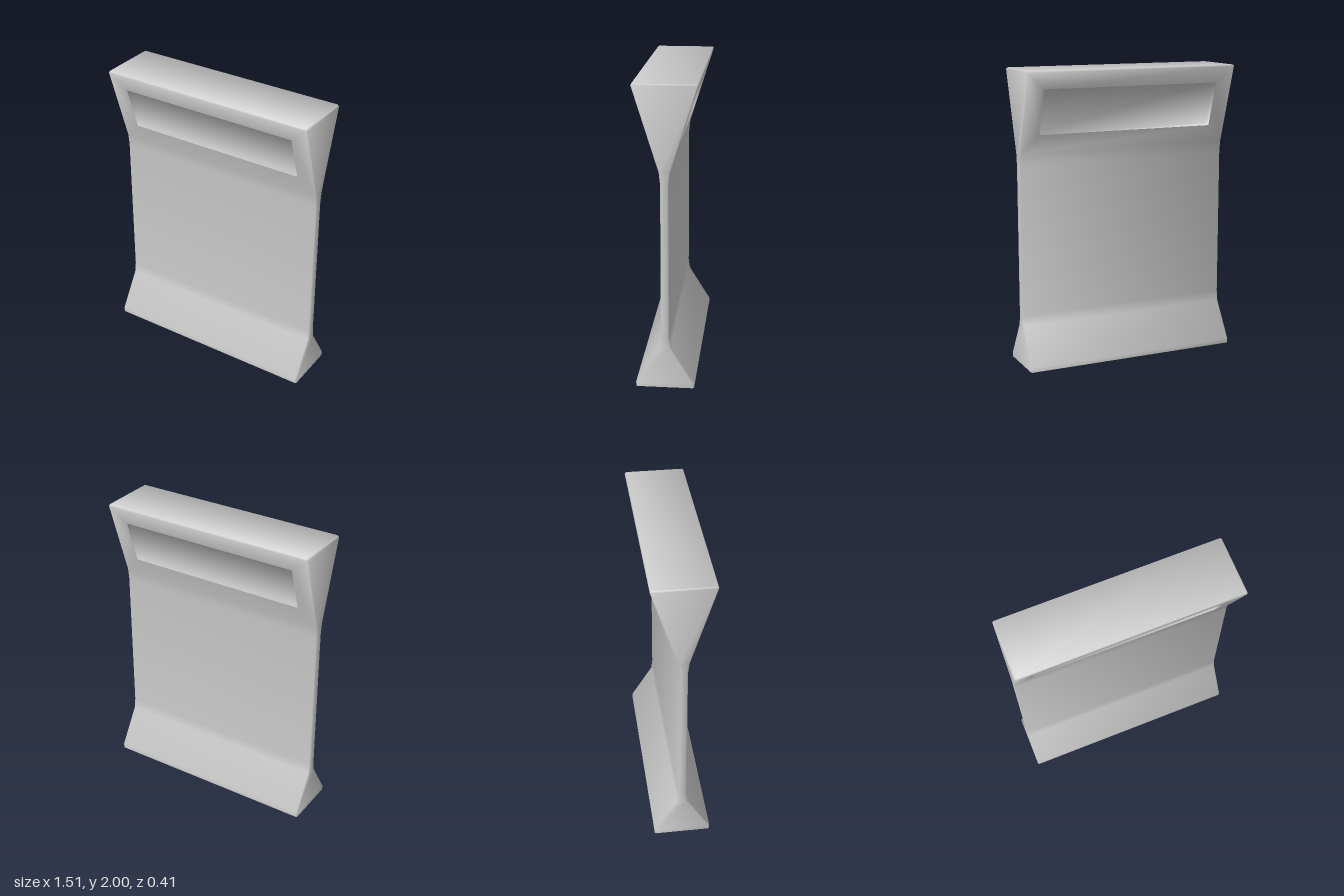
import * as THREE from 'three';

const material = new THREE.MeshStandardMaterial({ color: 0xcccccc, side: THREE.DoubleSide });

// Smooth normals, each face weighted by its corner angle
function smoothNormals(points, index) {
  const normals = points.map(() => new THREE.Vector3());
  for (let i = 0; i < index.length; i += 3) {
    const ids = index.slice(i, i + 3);
    const p = ids.map((k) => points[k]);
    const face = new THREE.Triangle(...p).getNormal(new THREE.Vector3());
    ids.forEach((id, k) => {
      const u = p[(k + 1) % 3].clone().sub(p[k]);
      const v = p[(k + 2) % 3].clone().sub(p[k]);
      normals[id].addScaledVector(face, u.angleTo(v));
    });
  }
  return normals.map((n) => n.normalize());
}

function makeMesh(name, points, quads) {
  const index = quads.flatMap(([a, b, c, d]) => [a, b, c, a, c, d]);
  const geometry = new THREE.BufferGeometry();
  const flat = (list) => new THREE.Float32BufferAttribute(list.flatMap((v) => v.toArray()), 3);
  geometry.setAttribute('position', flat(points));
  geometry.setAttribute('normal', flat(smoothNormals(points, index)));
  geometry.setIndex(index);
  const mesh = new THREE.Mesh(geometry, material);
  mesh.name = name;
  return mesh;
}

// Chamfered rectangle at height y, counter-clockwise seen from above
function section([y, w, d]) {
  const b = 0.008;
  return [
    [-w + b, d], [w - b, d], [w, d - b], [w, -d + b],
    [w - b, -d], [-w + b, -d], [-w, -d + b], [-w, d - b],
  ].map(([x, z]) => new THREE.Vector3(x, y, z));
}

// Height, half width, half depth
const rows = [
  [0, 0.755, 0.19], [0.03, 0.755, 0.19], [0.28, 0.755, 0.036], [0.35, 0.755, 0.027],
  [1.37, 0.755, 0.027], [1.45, 0.755, 0.036], [1.99, 0.755, 0.205], [2, 0.75, 0.2],
];
const HEAD = 5; // the row where the flared head begins

// Four window corners on the slope of the head, s = 1 front, s = -1 back
function windowCorners(s, inset, depth) {
  const [y0, , d0] = rows[HEAD];
  const [y1, , d1] = rows[HEAD + 1];
  const slope = (d1 - d0) / (y1 - y0);
  const len = Math.hypot(1, slope);
  const x = 0.63 - inset, low = 1.575 + inset, high = 1.88 - inset;
  return [[-x, low], [x, low], [x, high], [-x, high]].map(([px, y]) =>
    new THREE.Vector3(s * px, y + (depth * slope) / len, s * (d0 + (y - y0) * slope - depth / len)));
}

export function createModel() {
  const group = new THREE.Group();
  const points = rows.flatMap(section);
  const quads = [];

  // Outer shell, open below, leaving out the two sloped head faces
  for (let i = 0; i < rows.length - 1; i++) {
    for (let j = 0; j < 8; j++) {
      if (i === HEAD && j % 4 === 0) continue;
      const a = i * 8 + j, b = i * 8 + ((j + 1) % 8);
      quads.push([a, b, b + 8, a + 8]);
    }
  }

  // Flat top
  const t = (rows.length - 1) * 8;
  quads.push([t, t + 1, t + 4, t + 5], [t + 1, t + 2, t + 3, t + 4], [t + 5, t + 6, t + 7, t]);

  // Frames around the front and back windows, with sunken panels
  for (const [s, j] of [[1, 0], [-1, 4]]) {
    const a = HEAD * 8 + j;
    const outer = [a, a + 1, a + 9, a + 8];
    const h = points.length;
    const rim = windowCorners(s, 0, 0);
    points.push(...rim);
    const recess = [[4, 5, 6, 7]];
    for (let k = 0; k < 4; k++) {
      const n = (k + 1) % 4;
      quads.push([outer[k], outer[n], h + n, h + k]);
      recess.push([k, n, n + 4, k + 4]);
    }
    const name = s > 0 ? 'frontRecessedPanel' : 'backRecessedPanel';
    group.add(makeMesh(name, [...rim, ...windowCorners(s, 0.008, 0.025)], recess));
  }

  group.add(makeMesh('bodyShell', points, quads));
  return group;
}
